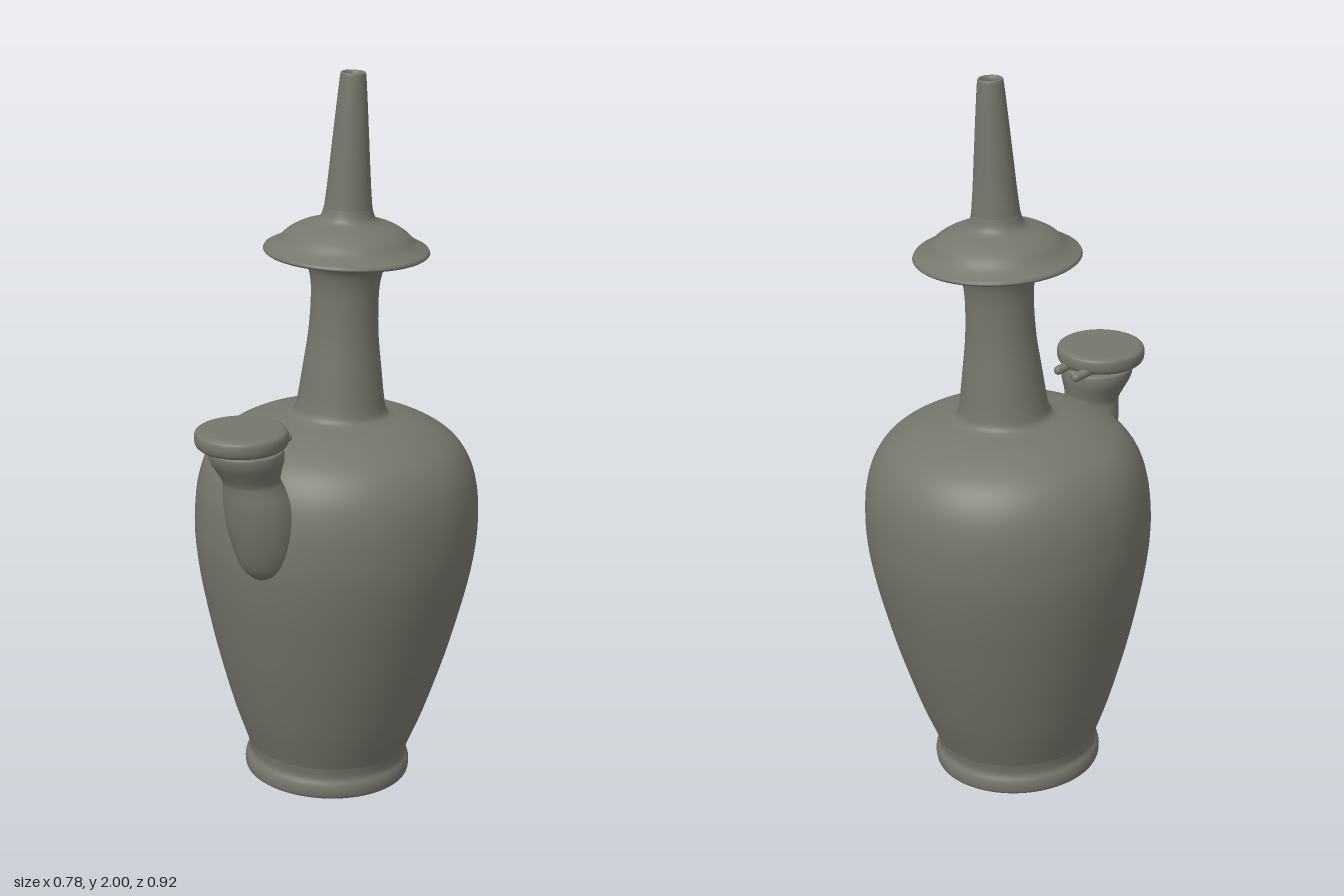
import * as THREE from 'three';

const V = (x, y) => new THREE.Vector2(x, y);

// Lathe a smooth curve through [radius, height] pairs
function turned(name, pairs, material, steps = 40, sides = 72) {
  const curve = new THREE.SplineCurve(pairs.map(([r, y]) => V(r, y)));
  const points = curve.getPoints(steps).map((p) => V(Math.max(p.x, 0), p.y));
  const mesh = new THREE.Mesh(new THREE.LatheGeometry(points, sides), material);
  mesh.name = name;
  return mesh;
}

export function createModel() {
  const model = new THREE.Group();
  model.name = 'ewer';
  const clay = new THREE.MeshStandardMaterial({ color: 0x74776b, side: THREE.DoubleSide });
  clay.name = 'olive grey glaze';

  // Main vessel, leaning very slightly
  const vessel = new THREE.Group();
  vessel.name = 'vessel';
  vessel.position.set(-0.014, 0.002, -0.043);
  vessel.rotation.set(-0.027, 0, -0.02);
  model.add(vessel);

  vessel.add(
    turned('footRecess', [[0, 0.04], [0.1, 0.04], [0.172, 0.036], [0.182, 0.014]], clay, 16),
    turned('footRing', [[0.182, 0.014], [0.2, 0.009], [0.226, 0.012], [0.232, 0.03],
      [0.23, 0.05], [0.222, 0.07], [0.226, 0.1]], clay, 28),
    turned('body', [[0.226, 0.1], [0.264, 0.2], [0.296, 0.3], [0.325, 0.4], [0.35, 0.5],
      [0.372, 0.6], [0.387, 0.7], [0.39, 0.78], [0.384, 0.86], [0.365, 0.93],
      [0.33, 0.985], [0.28, 1.022], [0.215, 1.05], [0.15, 1.064]], clay, 64, 96),
    turned('neck', [[0.15, 1.064], [0.128, 1.075], [0.118, 1.11], [0.106, 1.2], [0.095, 1.29],
      [0.091, 1.38], [0.094, 1.44], [0.107, 1.482], [0.135, 1.502], [0.18, 1.508],
      [0.218, 1.516]], clay, 56),
    turned('flangeRim', [[0.218, 1.516], [0.223, 1.521], [0.22, 1.528]], clay, 8),
    turned('flangeTop', [[0.22, 1.528], [0.2, 1.538], [0.183, 1.549], [0.16, 1.57],
      [0.128, 1.588], [0.09, 1.6], [0.072, 1.614], [0.064, 1.64]], clay, 40),
    turned('pouringTube', [[0.064, 1.64], [0.058, 1.7], [0.05, 1.8], [0.042, 1.9],
      [0.036, 1.97], [0.034, 1.99]], clay, 24),
    turned('pouringLip', [[0.034, 1.99], [0.032, 1.997], [0.027, 1.997], [0.023, 1.988],
      [0.021, 1.975], [0, 1.972]], clay, 20),
  );

  // Filling spout: a double-bulged cup that swings outward as it rises
  const filler = new THREE.Group();
  filler.name = 'fillingSpout';
  filler.position.x = 0.125;
  model.add(filler);
  const cup = turned('fillingCup', [[0.03, 0.7], [0.066, 0.735], [0.088, 0.79], [0.098, 0.86],
    [0.094, 0.92], [0.08, 0.97], [0.077, 0.99], [0.085, 1.015], [0.097, 1.045],
    [0.1, 1.068], [0.094, 1.078], [0.06, 1.08], [0, 1.08]], clay, 60, 48);
  const centre = new THREE.SplineCurve([V(0.7, 0.262), V(0.8, 0.264), V(0.9, 0.28), V(1.0, 0.312), V(1.1, 0.33)]);
  const pos = cup.geometry.attributes.position;
  for (let i = 0; i < pos.count; i++) {
    const t = THREE.MathUtils.clamp((pos.getY(i) - 0.7) / 0.4, 0, 1);
    pos.setZ(i, pos.getZ(i) + centre.getPoint(t).y);
  }
  cup.geometry.computeVertexNormals();
  filler.add(cup);

  // Flat lid over the spout
  const lid = new THREE.Group();
  lid.name = 'lid';
  lid.position.set(0.002, 0, 0.34);
  lid.add(
    turned('lidUnderside', [[0, 1.078], [0.05, 1.079], [0.095, 1.084], [0.112, 1.088]], clay, 12, 56),
    turned('lidEdge', [[0.112, 1.088], [0.12, 1.096], [0.123, 1.112], [0.12, 1.128],
      [0.108, 1.135]], clay, 20, 56),
    turned('lidTop', [[0.108, 1.135], [0.08, 1.136], [0, 1.136]], clay, 8, 56),
  );
  filler.add(lid);

  // Hinge lugs behind the lid
  for (const [x, y, z, length] of [[-0.06, 1.09, 0.222, 0.045], [-0.026, 1.08, 0.23, 0.025], [0.01, 1.09, 0.212, 0.045]]) {
    const lug = new THREE.Mesh(new THREE.CapsuleGeometry(0.013, length, 6, 14), clay);
    lug.name = 'hingeLug';
    lug.position.set(x, y, z + 0.01);
    lug.rotation.x = Math.PI / 2 - 0.2;
    filler.add(lug);
  }
  return model;
}
